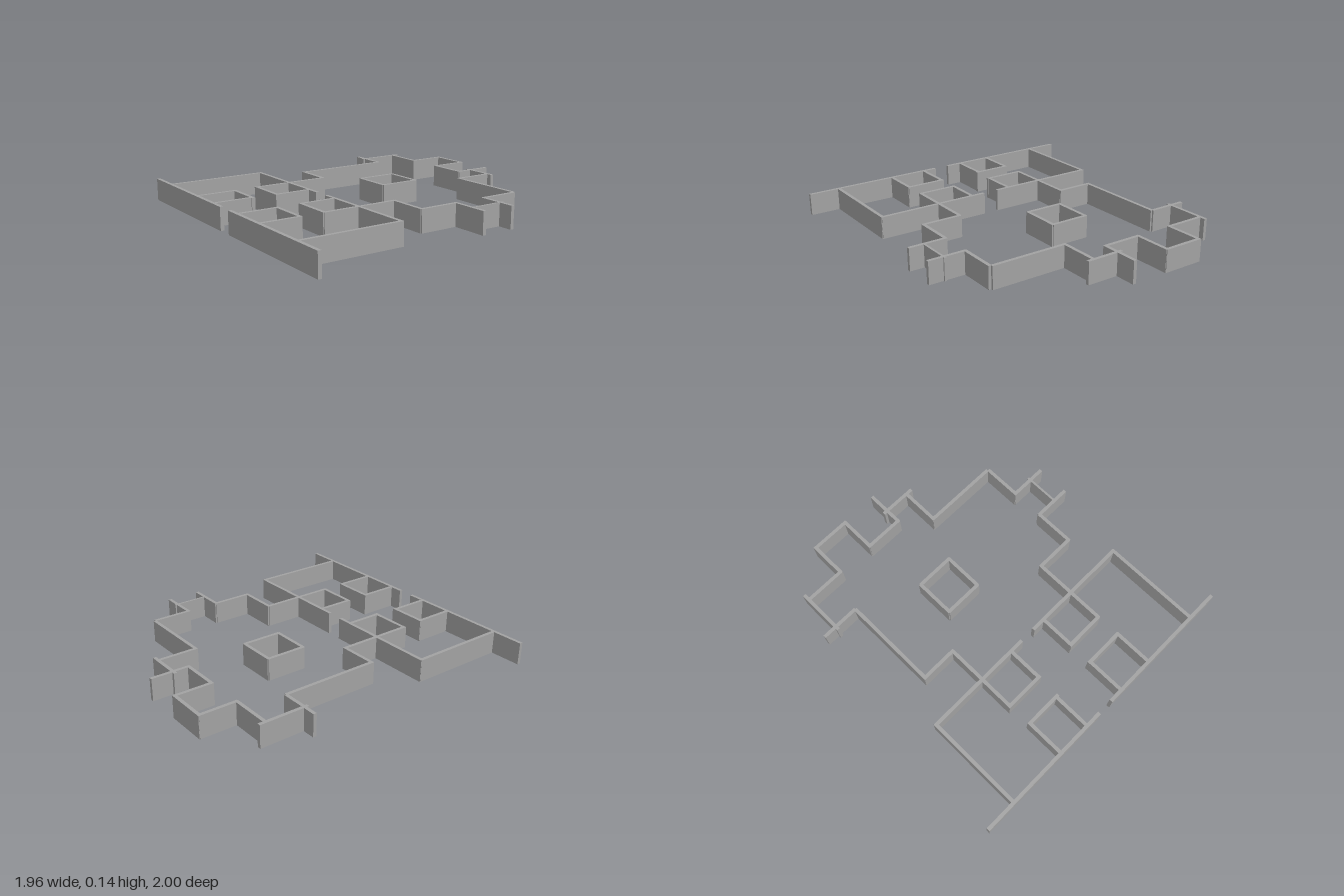
import * as THREE from 'three';

const HEIGHT = 0.14;
const THICK = 0.022;

export function createModel() {
  const model = new THREE.Group();
  model.name = 'wallPlan';
  const gray = new THREE.MeshStandardMaterial({ color: 0xa4a4a4 });
  gray.name = 'wall gray';

  // Upright slab standing on the ground, given its plan rectangle
  function slab(group, name, x0, x1, z0, z1) {
    const mesh = new THREE.Mesh(new THREE.BoxGeometry(x1 - x0, HEIGHT, z1 - z0), gray);
    mesh.position.set((x0 + x1) / 2, HEIGHT / 2, (z0 + z1) / 2);
    mesh.name = name;
    group.add(mesh);
  }

  // Walls across: [x0, x1, z]; walls along: [x, z0, z1, thickness]
  function section(name, across, along) {
    const group = new THREE.Group();
    group.name = name;
    for (const [x0, x1, z] of across) slab(group, 'crossWall', x0, x1, z - THICK / 2, z + THICK / 2);
    for (const [x, z0, z1, t = THICK] of along) slab(group, 'sideWall', x - t / 2, x + t / 2, z0, z1);
    model.add(group);
  }

  // Outer walls of the large hall
  section('hallRightWalls',
    [[-0.63, -0.38, 0.104], [-0.87, -0.62, -0.51], [-0.78, -0.515, -0.757]],
    [[-0.62, -0.51, 0.112], [-0.78, -0.8, -0.485]]);
  section('hallBackWalls',
    [[-0.53, -0.265, -0.988], [-0.28, -0.022, -0.757], [-0.058, 0.183, -0.858], [0.13, 0.63, -0.608]],
    [[-0.52, -0.995, -0.75], [-0.273, -0.995, -0.75], [-0.029, -1, -0.752], [0.14, -0.865, -0.6]]);
  section('hallLeftWalls',
    [[0.63, 0.875, -0.36], [0.63, 0.875, -0.148], [0.38, 0.64, 0.104]],
    [[0.636, -0.605, -0.352], [0.636, -0.15, 0.11], [0.775, -0.38, -0.145, 0.014]]);

  // Square room in the middle
  section('centreRoom',
    [[-0.232, 0.02, -0.34], [-0.232, 0.02, -0.09]],
    [[-0.228, -0.345, -0.085], [0.016, -0.345, -0.085]]);

  // Front wings, each with two closets
  section('rightWing',
    [[-0.98, -0.05, 0.984], [-0.78, -0.05, 0.354], [-0.39, -0.14, 0.737], [-0.4, -0.13, 0.582]],
    [[-0.77, 0.346, 0.98], [-0.38, 0.73, 0.98], [-0.157, 0.73, 0.98],
      [-0.389, 0.1, 0.588], [-0.143, 0.35, 0.588]]);
  section('leftWing',
    [[0.05, 0.98, 0.984], [0.05, 0.785, 0.354], [0.13, 0.395, 0.737], [0.13, 0.39, 0.582]],
    [[0.778, 0.346, 0.98], [0.142, 0.73, 0.98], [0.388, 0.73, 0.98],
      [0.386, 0.1, 0.588], [0.14, 0.35, 0.588]]);

  return model;
}
